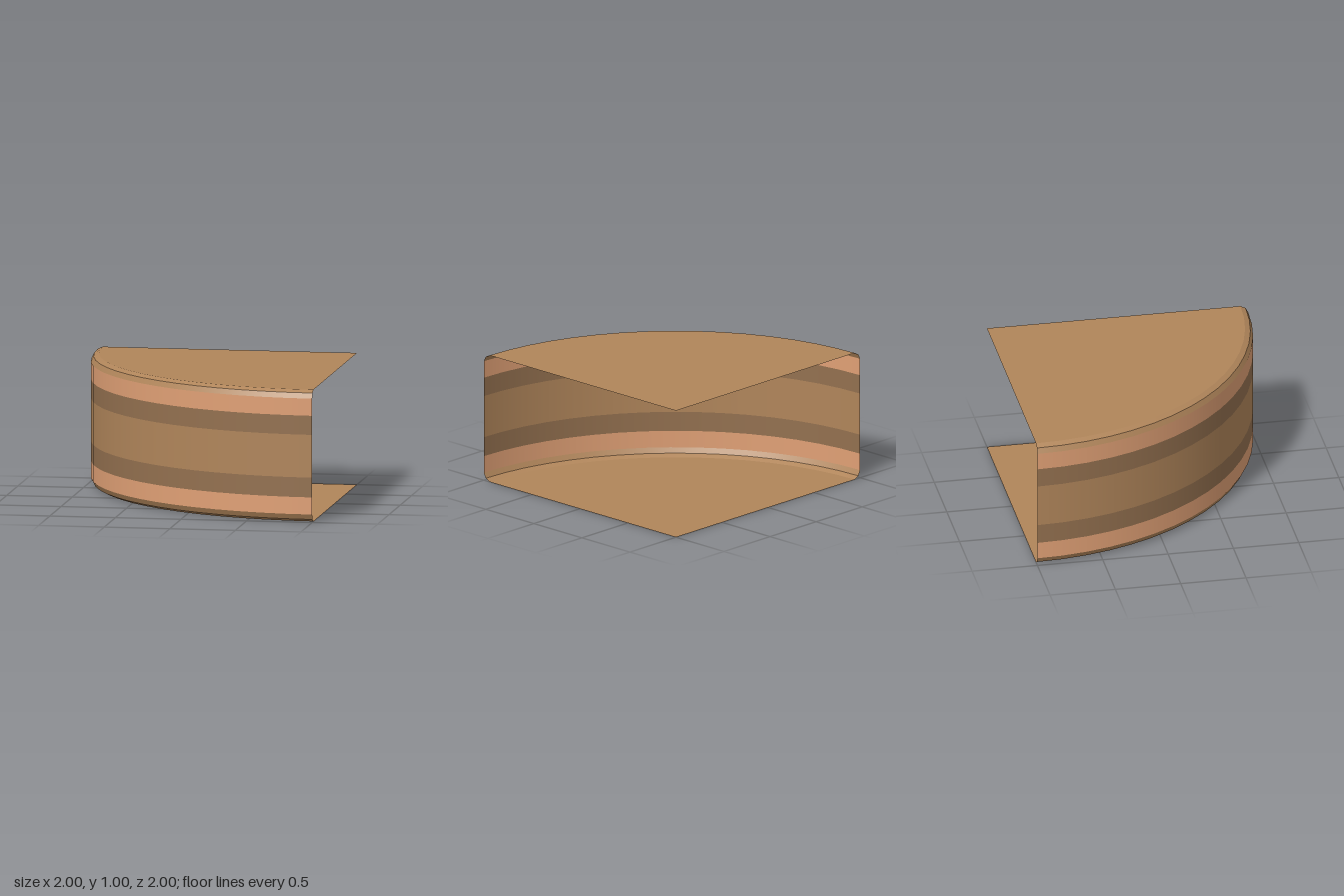
import * as THREE from 'three';

const SEGMENTS = 16;
const wood = 0xb0855a, darkWood = 0x93704f, lightWood = 0xe0a075;

export function createModel() {
  const model = new THREE.Group();
  model.name = 'quarterRoundShell';

  // One open, quarter-turn surface band; separate bands keep creases and colour borders crisp
  function band(name, color, r0, y0, r1, y1) {
    const profile = [new THREE.Vector2(r0, y0), new THREE.Vector2(r1, y1)];
    const geometry = new THREE.LatheGeometry(profile, SEGMENTS, Math.PI * 1.5, Math.PI / 2);
    const material = new THREE.MeshStandardMaterial({ color, side: THREE.DoubleSide });
    const mesh = new THREE.Mesh(geometry, material);
    mesh.name = name;
    mesh.position.set(1, 0, -1); // turn axis sits in the back left corner
    model.add(mesh);
  }

  // Floor and lower bevel
  band('floor', wood, 0, 0, 1.94, 0);
  band('lowerBevelInner', wood, 1.94, 0, 1.98, 0.02);
  band('lowerBevelOuter', wood, 1.98, 0.02, 2, 0.06);

  // Curved wall with coloured stripes
  band('lowerLightStripe', lightWood, 2, 0.06, 2, 0.19);
  band('lowerDarkStripe', darkWood, 2, 0.19, 2, 0.34);
  band('middleWall', wood, 2, 0.34, 2, 0.665);
  band('upperDarkStripe', darkWood, 2, 0.665, 2, 0.81);
  band('upperLightStripe', lightWood, 2, 0.81, 2, 0.94);

  // Upper bevel and top
  band('upperBevelOuter', wood, 2, 0.94, 1.98, 0.98);
  band('upperBevelInner', wood, 1.98, 0.98, 1.94, 1);
  band('top', wood, 1.94, 1, 0, 1);

  return model;
}
